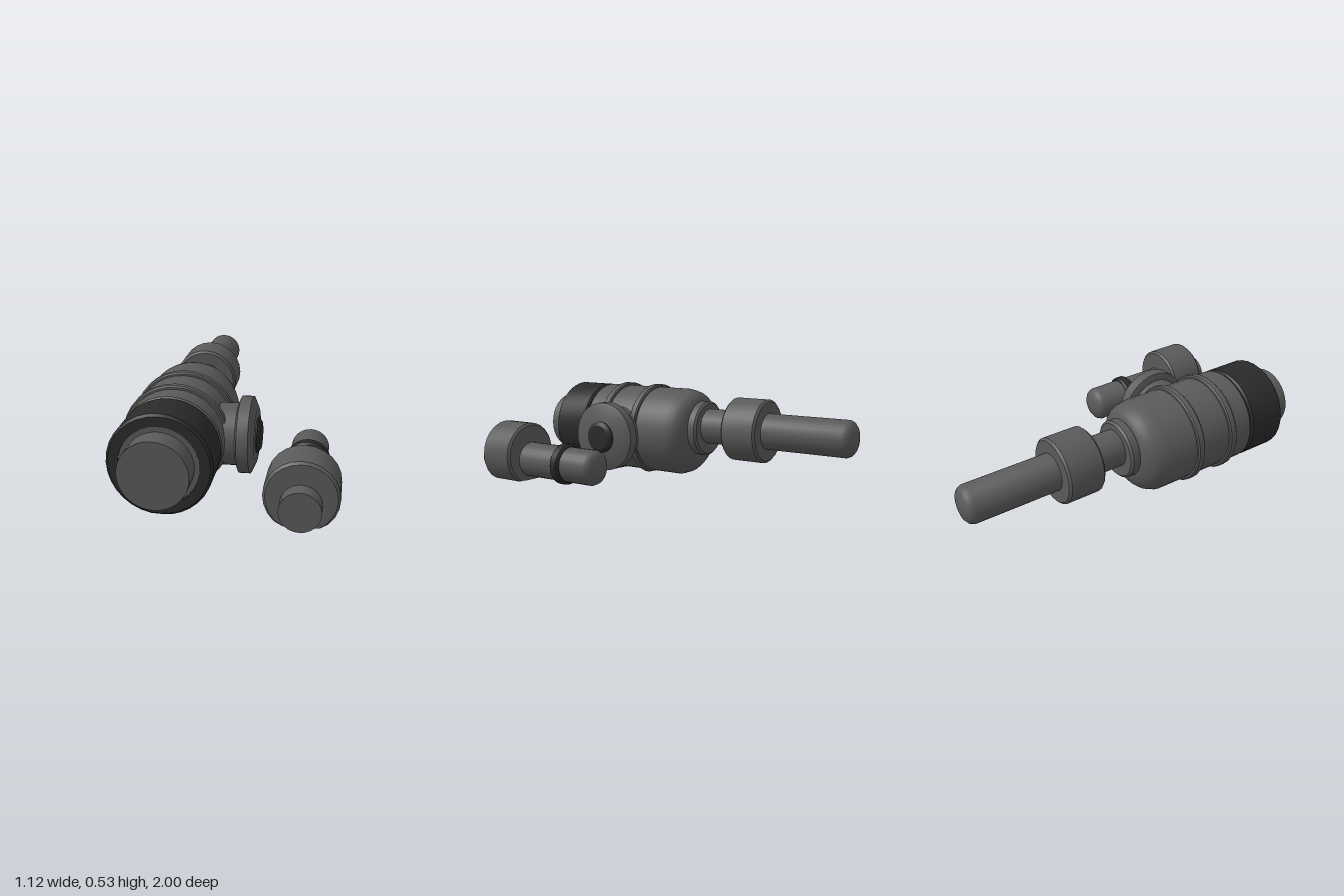
import * as THREE from 'three';
import { toCreasedNormals } from 'three/addons/utils/BufferGeometryUtils.js';

export function createModel() {
  const model = new THREE.Group();
  const grey = new THREE.MeshStandardMaterial({ name: 'grey metal', color: 0x5a5a5a });
  const dark = new THREE.MeshStandardMaterial({ name: 'dark rubber', color: 0x2a2a2a });

  // Turned part: profile entries are [position along axis, radius, optional lift].
  // Anything below the ground, or beyond maxX, is flattened onto that plane.
  function turned(name, profile, centre, material, { axis = 'z', sides = 32, maxX = Infinity } = {}) {
    const geo = new THREE.LatheGeometry(profile.map(([a, r]) => new THREE.Vector2(r, a)), sides);
    if (axis === 'z') geo.rotateX(Math.PI / 2);
    else geo.rotateZ(-Math.PI / 2);
    geo.translate(...centre);
    const pos = geo.attributes.position;
    for (let i = 0; i < pos.count; i++) {
      const lift = profile[i % profile.length][2] || 0;
      pos.setX(i, Math.min(pos.getX(i), maxX));
      pos.setY(i, Math.max(pos.getY(i) + lift, 0));
    }
    const mesh = new THREE.Mesh(toCreasedNormals(geo, 0.6), material);
    mesh.name = name;
    model.add(mesh);
  }

  // Closed cylinder with small bevels
  const drum = (a, b, r, bevel = 0.01) => [
    [a, 0], [a, r - bevel], [a + bevel, r], [b - bevel, r], [b, r - bevel], [b, 0],
  ];
  // Rod with a domed back end
  const domedRod = (a, b, r) => [
    [a, 0], [a + 0.004, r * 0.4], [a + 0.014, r * 0.72], [a + 0.028, r * 0.9],
    [a + 0.05, r], [b, r], [b, 0],
  ];

  // Main valve body
  const main = [-0.288, 0.254, 0];
  turned('body', [
    [-0.04, 0, 0.03], [-0.04, 0.165, 0.03], [-0.02, 0.205, 0.02], [0.0, 0.227, 0.012],
    [0.025, 0.243, 0.005], [0.07, 0.257], [0.64, 0.257], [0.65, 0.247], [0.65, 0],
  ], main, grey);
  for (const z of [0.262, 0.485]) {
    turned('bodyRing', drum(z, z + 0.045, 0.274, 0.007), main, grey, { maxX: -0.033 });
  }

  // Dark collar around the front, with a grey insert and stub
  turned('collar', [
    [0.655, 0], [0.655, 0.247], [0.667, 0.257], [0.873, 0.257], [0.885, 0.245], [0.885, 0.196], [0.87, 0.196],
  ], main, dark);
  turned('bodyCore', drum(0.64, 0.66, 0.24, 0.001), main, grey);
  turned('collarInsert', drum(0.8, 0.883, 0.196, 0.001), main, grey);
  turned('frontStub', [[0.87, 0.17], [1, 0.17], [1, 0]], main, grey);

  // Rear neck, rod and nut
  turned('rearNeck', drum(-0.095, -0.03, 0.16, 0.012), [-0.288, 0.285, 0], grey);
  turned('rearRod', domedRod(-1, -0.05, 0.102), [-0.288, 0.3, 0], grey, { sides: 24 });
  turned('rearNut', drum(-0.483, -0.268, 0.18, 0.012), [-0.288, 0.3, 0], grey, { sides: 24 });

  // Side port with flange and dark plug
  const port = [0, 0.24, 0.405];
  const side = { axis: 'x' };
  turned('portNeck', [[-0.2, 0.162], [0.03, 0.162]], port, grey, side);
  turned('portFlange', [
    [0.018, 0], [0.018, 0.17], [0.03, 0.2], [0.088, 0.2], [0.113, 0.145], [0.113, 0],
  ], port, grey, side);
  turned('portPlug', [[0.1, 0.092], [0.12, 0.092], [0.135, 0.07], [0.135, 0]], port, dark, { axis: 'x', sides: 24 });

  // Separate connector lying beside the body
  const loose = { sides: 24 };
  turned('connectorRod', domedRod(0.185, 1, 0.099), [0.379, 0.12, 0], grey, loose);
  turned('connectorNut', drum(0.705, 0.918, 0.18, 0.012), [0.379, 0.15, 0], grey, loose);
  turned('connectorSeal', drum(0.402, 0.465, 0.115, 0.012), [0.379, 0.12, 0], dark, loose);

  return model;
}
